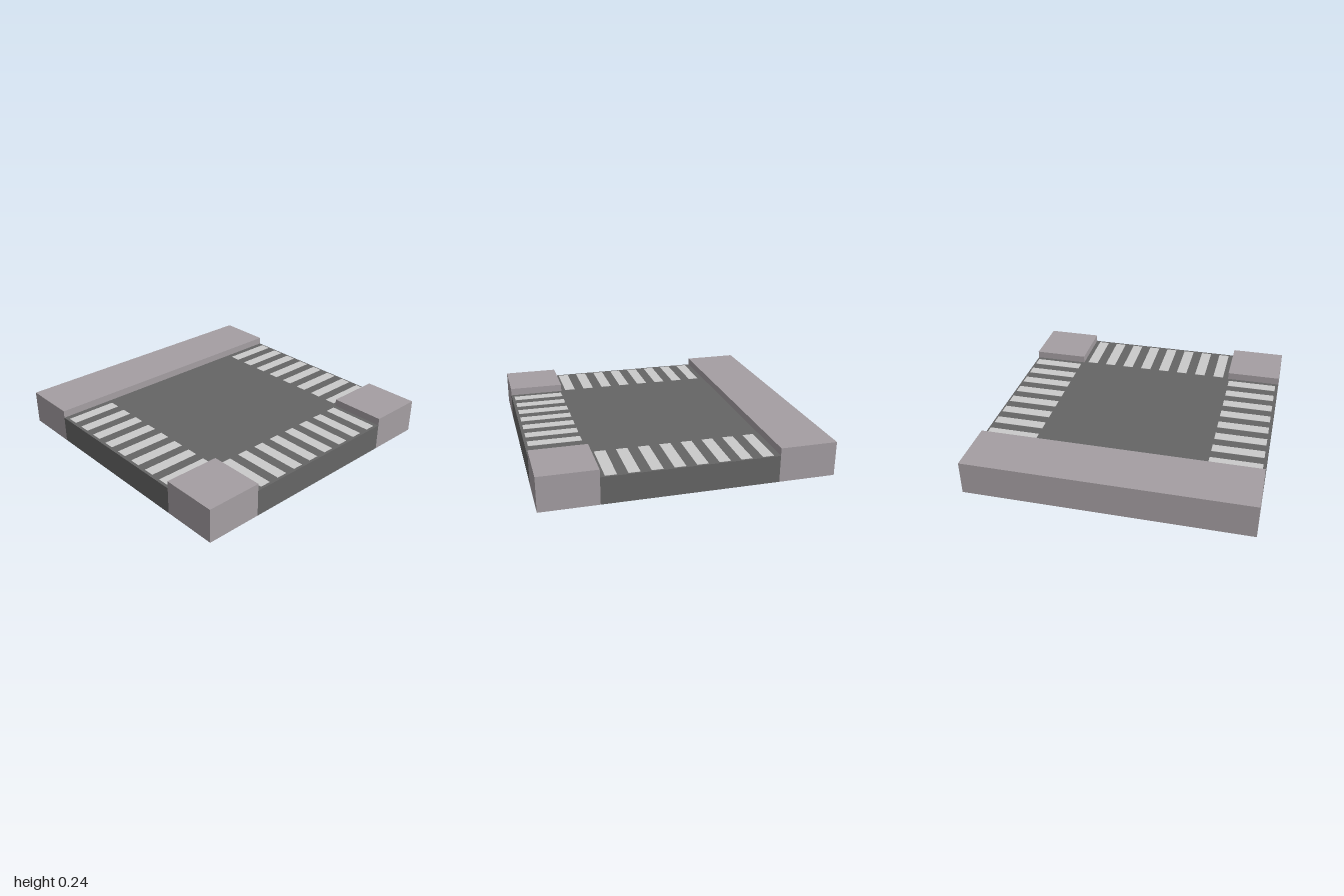
import * as THREE from 'three';

export function createModel() {
  const group = new THREE.Group();
  const material = (name, color) => {
    const m = new THREE.MeshStandardMaterial({ color });
    m.name = name;
    return m;
  };
  const asphalt = material('asphalt', 0x656565);
  const pavement = material('pavement', 0xa49ea2);
  const paint = material('crossingPaint', 0xcacaca);

  const ROAD = 0.19, CURB = 0.243, EDGE = 0.602;

  // Box given by its x, y and z ranges
  const box = (name, mat, [x0, x1], [y0, y1], [z0, z1]) => {
    const mesh = new THREE.Mesh(new THREE.BoxGeometry(x1 - x0, y1 - y0, z1 - z0), mat);
    mesh.position.set((x0 + x1) / 2, (y0 + y1) / 2, (z0 + z1) / 2);
    mesh.name = name;
    group.add(mesh);
  };

  // T-junction road, with an underside in the pavement colour
  const roadFaces = [asphalt, asphalt, asphalt, pavement, asphalt, asphalt];
  box('mainRoad', roadFaces, [-EDGE, EDGE], [0, ROAD], [-1, 1]);
  box('sideRoad', roadFaces, [EDGE, 1], [0, ROAD], [-EDGE, EDGE]);

  // Raised pavements: one long strip and two corners
  box('longPavement', pavement, [-1, -EDGE], [0, CURB], [-1, 1]);
  box('backCornerPavement', pavement, [EDGE, 1], [0, CURB], [-1, -EDGE]);
  box('frontCornerPavement', pavement, [EDGE, 1], [0, CURB], [EDGE, 1]);

  // Crossing stripes on each of the three arms
  const y = [ROAD, ROAD + 0.002];
  const span = (c) => [c - 0.039, c + 0.039];
  for (let i = 0; i < 8; i++) {
    const c = -0.52 + i * 0.15;
    box('backCrossingStripe', paint, span(c), y, [-0.987, -0.62]);
    box('frontCrossingStripe', paint, span(c), y, [0.612, 0.98]);
    box('sideCrossingStripe', paint, [0.612, 0.98], y, span(-c));
  }
  return group;
}
